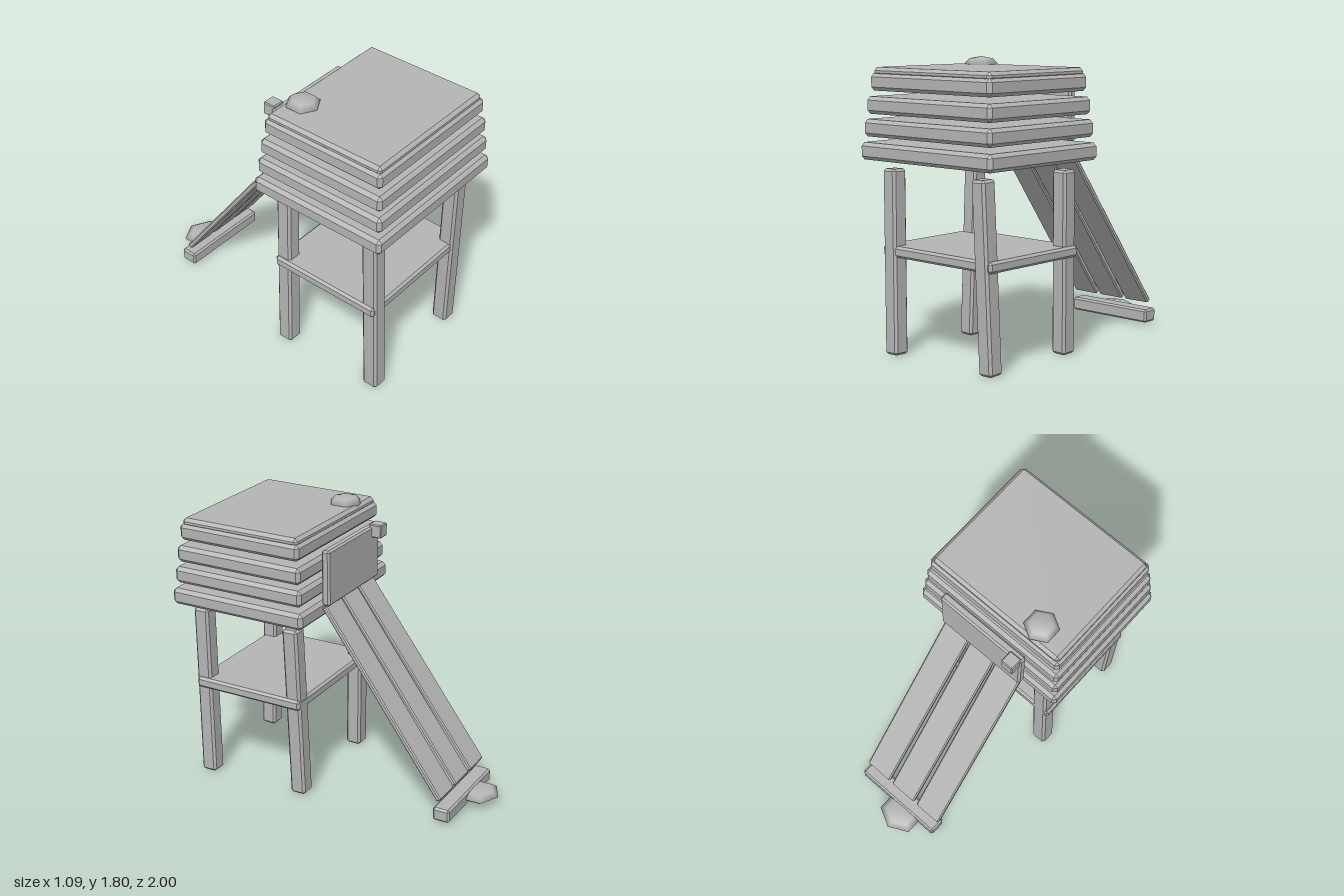
import * as THREE from 'three';
import { ConvexGeometry } from 'three/addons/geometries/ConvexGeometry.js';

const wood = new THREE.MeshStandardMaterial({ color: 0xb4b4b4 });
wood.name = 'plain grey';

// Box with every edge cut by a flat chamfer
function chamferBox(w, h, d, c) {
  const half = [w / 2, h / 2, d / 2];
  const points = [];
  for (const sx of [-1, 1]) for (const sy of [-1, 1]) for (const sz of [-1, 1]) {
    for (let axis = 0; axis < 3; axis++) {
      const p = [sx, sy, sz].map((s, i) => s * (half[i] - (i === axis ? 0 : c)));
      points.push(new THREE.Vector3(...p));
    }
  }
  return new ConvexGeometry(points);
}

export function createModel() {
  const model = new THREE.Group();
  model.name = 'treehouse';

  function add(name, geometry, x, y, z) {
    const mesh = new THREE.Mesh(geometry, wood);
    mesh.name = name;
    mesh.position.set(x, y, z);
    model.add(mesh);
    return mesh;
  }

  // Cabin: four stacked slabs, each a little smaller than the one below
  const slabs = [[1.09, 0.94, 1.253], [1.06, 0.91, 1.392], [1.035, 0.885, 1.528], [1.0, 0.85, 1.667]];
  slabs.forEach(([w, d, y], i) => {
    add('cabinSlab' + (i + 1), chamferBox(w, 0.105, d, 0.022), 0, y, 0.53);
  });
  add('roof', chamferBox(0.97, 0.055, 0.82, 0.02), 0, 1.727, 0.53);

  // Legs lean in a pinwheel around the cabin's centre
  const legGeometry = chamferBox(0.105, 1.14, 0.105, 0.015);
  for (const sx of [-1, 1]) for (const sz of [-1, 1]) {
    const leg = add('leg', legGeometry, sx * 0.385, 0.575, 0.53 + sz * 0.335);
    leg.rotation.set(sx * 0.023, 0, sz * 0.023);
  }
  add('shelf', chamferBox(0.91, 0.07, 0.765, 0.015), 0, 0.645, 0.525);

  // Back door with its square handle
  add('door', chamferBox(0.625, 0.355, 0.055, 0.012), 0, 1.468, 0.027);
  add('doorHandle', chamferBox(0.085, 0.085, 0.085, 0.006), -0.262, 1.618, -0.022);

  // Ramp of three slats that fan out towards the ground
  const slatGeometry = chamferBox(0.192, 1.38, 0.035, 0.008);
  for (const s of [-1, 0, 1]) {
    const slat = add('rampSlat', slatGeometry, s * 0.212, 0.72, -0.36);
    slat.rotation.set(0.63, 0, s * 0.011);
  }
  add('rampFoot', chamferBox(0.63, 0.087, 0.112, 0.012), 0, 0.065, -0.78);

  // Six-sided flattened stones, pointing front to back
  const stoneGeometry = new THREE.SphereGeometry(1, 6, 4).rotateY(Math.PI / 2);
  add('roofStone', stoneGeometry, -0.278, 1.76, 0.22).scale.set(0.107, 0.046, 0.106);
  add('footStone', stoneGeometry, -0.063, 0.066, -0.868).scale.set(0.148, 0.037, 0.132);

  return model;
}
